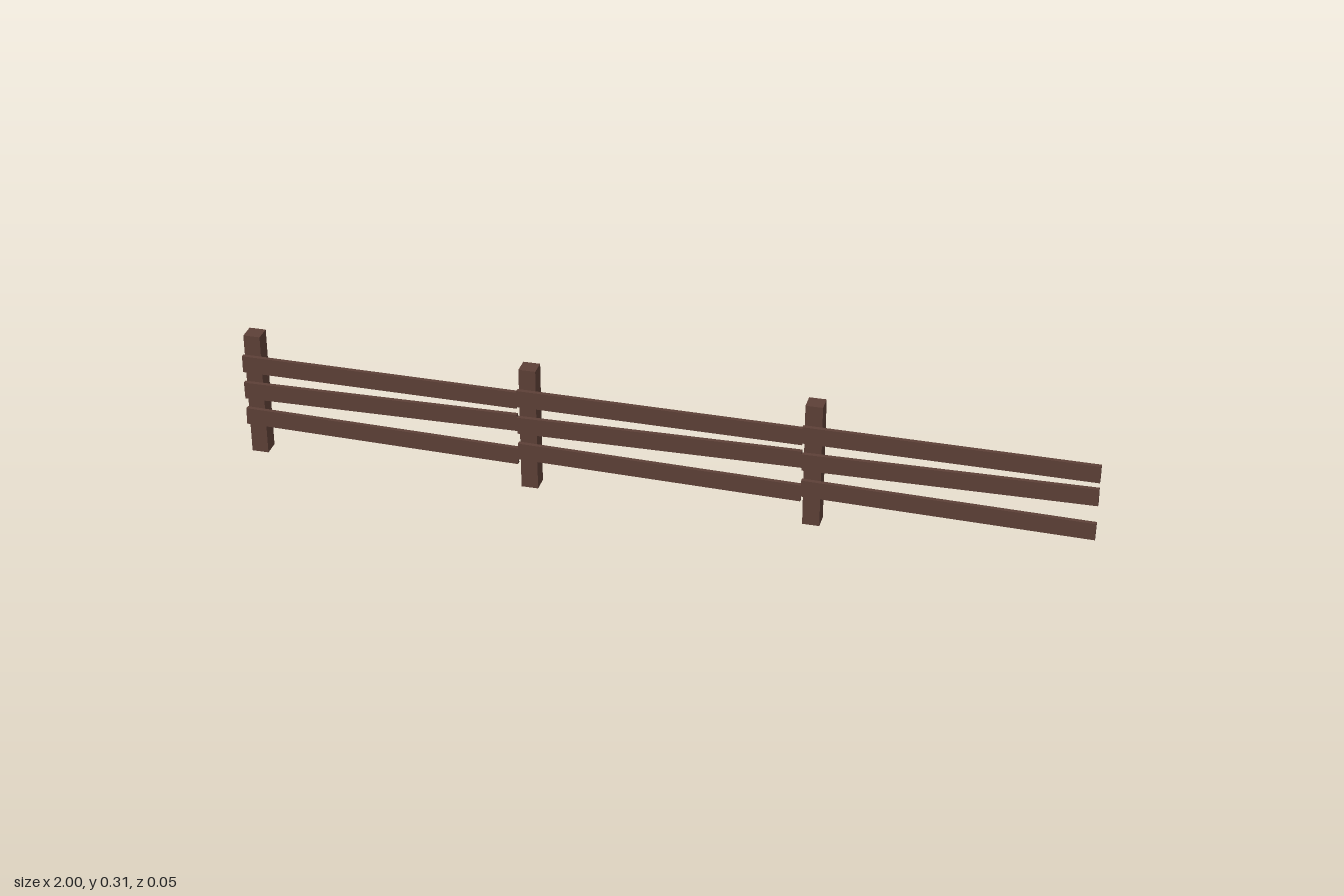
import * as THREE from 'three';

export function createModel() {
  const fence = new THREE.Group();
  fence.name = 'fence';

  const wood = new THREE.MeshStandardMaterial({ color: 0x5d4037 });
  wood.name = 'brown wood';

  const span = 2 / 3;
  const postGeometry = new THREE.BoxGeometry(0.04, 0.309, 0.04);
  const railGeometry = new THREE.BoxGeometry(span, 0.042, 0.01);

  // Rail centre height and its rise from left end to right end
  const rails = [
    { name: 'topRail', y: 0.2355, rise: -0.0045 },
    { name: 'middleRail', y: 0.171, rise: 0.007 },
    { name: 'bottomRail', y: 0.0925, rise: -0.013 },
  ];

  // Three identical sections: a post at the start and three uneven rails
  for (let i = 0; i < 3; i++) {
    const section = new THREE.Group();
    section.name = `section${i + 1}`;
    section.position.x = -1 + i * span;

    const post = new THREE.Mesh(postGeometry, wood);
    post.name = 'post';
    post.position.set(0.0235, 0.1545, -0.005);
    section.add(post);

    for (const { name, y, rise } of rails) {
      const rail = new THREE.Mesh(railGeometry, wood);
      rail.name = name;
      rail.position.set(span / 2, y, 0.02);
      rail.rotation.z = Math.atan2(rise, span);
      section.add(rail);
    }
    fence.add(section);
  }
  return fence;
}
